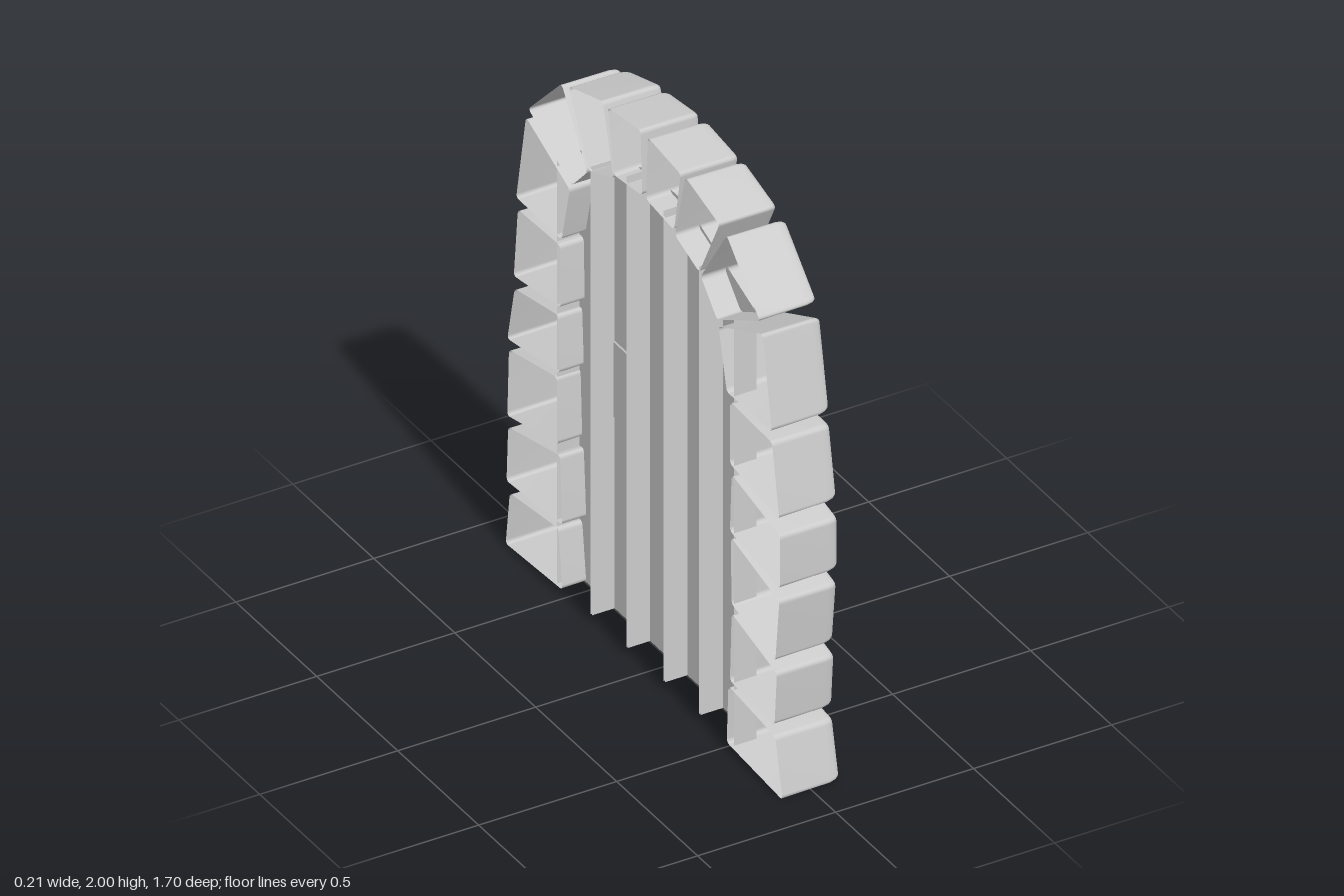
import * as THREE from 'three';

const smooth = new THREE.MeshStandardMaterial({ color: 0xcccccc, side: THREE.DoubleSide });
const flat = new THREE.MeshStandardMaterial({ color: 0xcccccc, side: THREE.DoubleSide, flatShading: true });

// Stone corners as z, y: inner top, outer top, outer bottom, inner bottom.
const jambA = [
  [0.52, 0.24, 0.81, 0.21, 0.855, 0, 0.51, 0.025],
  [0.54, 0.52, 0.82, 0.45, 0.805, 0.25, 0.53, 0.265],
  [0.535, 0.8, 0.835, 0.725, 0.81, 0.49, 0.54, 0.555],
  [0.54, 1.035, 0.84, 0.97, 0.84, 0.775, 0.53, 0.82],
  [0.53, 1.3, 0.79, 1.29, 0.835, 1.03, 0.53, 1.07],
];
const jambB = [
  [0.53, 0.245, 0.83, 0.21, 0.855, 0.01, 0.505, 0.03],
  [0.52, 0.52, 0.84, 0.45, 0.85, 0.245, 0.505, 0.27],
  [0.54, 0.8, 0.835, 0.74, 0.845, 0.49, 0.53, 0.555],
  [0.53, 1.035, 0.8, 0.985, 0.845, 0.775, 0.52, 0.825],
  [0.52, 1.3, 0.78, 1.29, 0.805, 1.03, 0.515, 1.07],
];
const arch = [
  [0.46, 1.54, 0.73, 1.66, 0.79, 1.33, 0.51, 1.325],
  [0.35, 1.665, 0.51, 1.905, 0.715, 1.7, 0.45, 1.56],
  [0.19, 1.73, 0.255, 1.98, 0.465, 1.92, 0.34, 1.675],
  [0.012, 1.765, 0.022, 2, 0.225, 1.975, 0.185, 1.745],
];

function mesh(name, geometry, material, parent) {
  const m = new THREE.Mesh(geometry, material);
  m.name = name;
  parent.add(m);
  return m;
}

// Rounded stone shell, open at the back
function stoneGeometry(c, side) {
  let corners = [0, 2, 4, 6].map(i => new THREE.Vector2(c[i] * side, c[i + 1]));
  if (side < 0) corners.reverse();
  const outline = [];
  corners.forEach((p, i) => {
    const toward = q => p.clone().add(q.clone().sub(p).setLength(0.016));
    const a = toward(corners[(i + 3) % 4]), b = toward(corners[(i + 1) % 4]);
    outline.push(...new THREE.QuadraticBezierCurve(a, p, b).getPoints(3));
  });
  const mid = corners.reduce((s, p) => s.add(p), new THREE.Vector2()).divideScalar(4);
  const rings = [[-0.107, 1], [0.07, 0.99], [0.092, 0.965], [0.104, 0.92], [0.107, 0.86]];
  const n = outline.length, pos = [], idx = [];
  rings.forEach(([x, s], r) => outline.forEach((p, i) => {
    const q = mid.clone().lerp(p, s);
    pos.push(x, q.y, q.x);
    const a = r * n + i, b = r * n + (i + 1) % n;
    if (r < rings.length - 1) idx.push(a, b, b + n, a, b + n, a + n);
    else idx.push(a, b, rings.length * n);
  }));
  pos.push(0.107, mid.y, mid.x);
  const g = new THREE.BufferGeometry();
  g.setAttribute('position', new THREE.Float32BufferAttribute(pos, 3));
  g.setIndex(idx);
  g.computeVertexNormals();
  return g;
}

// Plank: front face with two side walls, open behind, slanted top
function plankGeometry(z1, top1, z2, top2) {
  const section = [[-0.102, z1, top1], [-0.02, z1, top1], [-0.02, z2, top2], [-0.102, z2, top2]];
  const pos = [], idx = [];
  section.forEach(([x, z, top], i) => {
    pos.push(x, 0.03, z, x, top, z);
    const a = i * 2;
    if (i < 3) idx.push(a, a + 1, a + 2, a + 1, a + 3, a + 2);
  });
  const g = new THREE.BufferGeometry();
  g.setAttribute('position', new THREE.Float32BufferAttribute(pos, 3));
  g.setIndex(idx);
  const out = g.toNonIndexed();
  out.computeVertexNormals();
  return out;
}

export function createModel() {
  const model = new THREE.Group();
  model.name = 'archedDoor';

  // Stone surround
  const surround = new THREE.Group();
  surround.name = 'stoneSurround';
  model.add(surround);
  for (const side of [1, -1]) {
    (side > 0 ? jambA : jambB).forEach(c => mesh('jambStone', stoneGeometry(c, side), smooth, surround));
    arch.forEach(c => mesh('archStone', stoneGeometry(c, side), smooth, surround));
  }

  // Vertical planks with narrow gaps
  const door = new THREE.Group();
  door.name = 'door';
  model.add(door);
  const edges = [[0.55, 1.61], [0.335, 1.69], [0.115, 1.775], [-0.115, 1.775], [-0.335, 1.69], [-0.55, 1.61]];
  for (let i = 0; i < 5; i++) {
    const [z1, t1] = edges[i], [z2, t2] = edges[i + 1];
    mesh('plank', plankGeometry(z2 + 0.004, t2, z1 - 0.004, t1), flat, door);
  }

  // Chamfered cross boards
  for (const y of [0.475, 1.09]) {
    const profile = new THREE.Shape([[-0.02, 0], [0.015, 0], [0.028, 0.015], [0.028, 0.2], [0.018, 0.212], [-0.02, 0.212]]
      .map(([x, h]) => new THREE.Vector2(x, y + h)));
    const g = new THREE.ExtrudeGeometry(profile, { depth: 1.07, bevelEnabled: false });
    mesh('crossBoard', g.translate(0, 0, -0.535), flat, door);
  }

  // Lock: plate, pull ring, stud and keyhole, turned to face +x
  const lock = new THREE.Group();
  lock.name = 'lock';
  lock.position.set(-0.02, 0.88, -0.336);
  lock.rotation.y = Math.PI / 2;
  door.add(lock);
  const w = 0.094, h = 0.139;
  const plate = new THREE.Shape([[-w, -h], [w, -h], [w, h], [-w, h]].map(p => new THREE.Vector2(...p)));
  mesh('lockPlate', new THREE.ExtrudeGeometry(plate, {
    depth: 0.024, bevelThickness: 0.004, bevelSize: 0.004, bevelSegments: 1,
  }), flat, lock);
  const ring = mesh('pullRing', new THREE.TorusGeometry(0.054, 0.01, 10, 36), smooth, lock);
  ring.scale.y = 1.28;
  ring.position.set(0, 0.005, 0.04);
  const stud = mesh('ringStud', new THREE.SphereGeometry(0.017, 16, 12), smooth, lock);
  stud.position.set(0, 0.095, 0.036);
  const hole = new THREE.Shape();
  hole.absarc(0, 0, 0.017, -Math.PI * 0.33, Math.PI * 1.33, false);
  hole.lineTo(-0.018, -0.038);
  hole.lineTo(0.018, -0.038);
  const keyhole = mesh('keyhole', new THREE.ExtrudeGeometry(hole, { depth: 0.01, bevelEnabled: false }), flat, lock);
  keyhole.position.set(0, -0.092, 0.026);

  return model;
}
